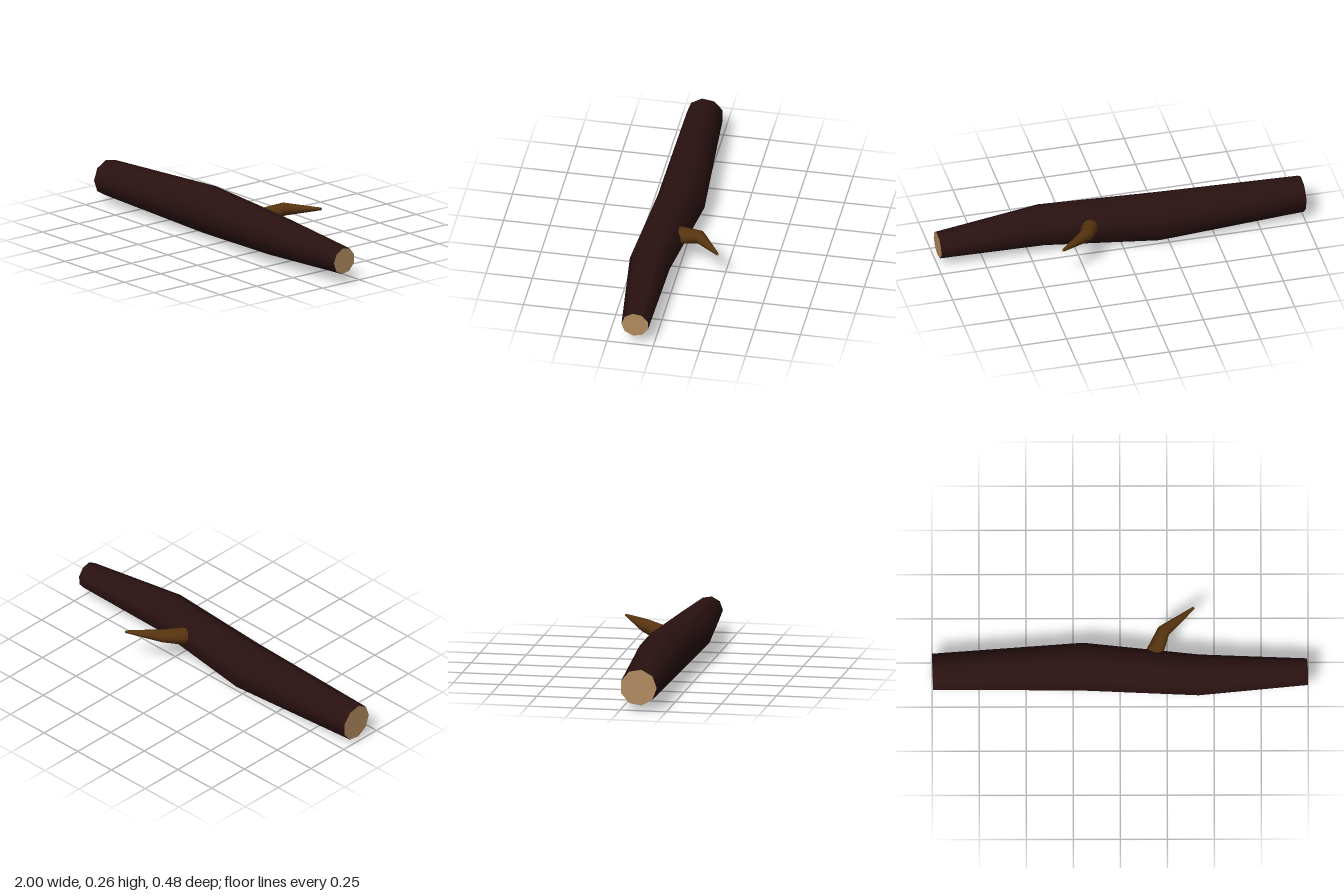
import * as THREE from 'three';

const logBark = new THREE.MeshStandardMaterial({ name: 'darkBark', color: 0x2a1111 });
const branchBark = new THREE.MeshStandardMaterial({ name: 'brownBark', color: 0x57340f });
const cutWood = new THREE.MeshStandardMaterial({ name: 'cutWood', color: 0xb48e62 });

const SIDES = 9;

// Rings of points around a bent path; each station is [x, y, z, radius].
function makeRings(stations, reference) {
  const centres = stations.map(([x, y, z]) => new THREE.Vector3(x, y, z));
  return centres.map((centre, i) => {
    const t = new THREE.Vector3();
    if (i > 0) t.add(centre.clone().sub(centres[i - 1]).normalize());
    if (i < centres.length - 1) t.add(centres[i + 1].clone().sub(centre).normalize());
    t.normalize();
    const u = reference.clone().addScaledVector(t, -reference.dot(t)).normalize();
    const v = t.clone().cross(u);
    const r = stations[i][3];
    return Array.from({ length: SIDES }, (_, j) => {
      const a = (j / SIDES) * Math.PI * 2;
      return centre.clone().addScaledVector(u, r * Math.cos(a)).addScaledVector(v, r * Math.sin(a));
    });
  });
}

function makeMesh(name, points, index, material) {
  const geometry = new THREE.BufferGeometry().setFromPoints(points);
  geometry.setIndex(index);
  geometry.computeVertexNormals();
  const mesh = new THREE.Mesh(geometry, material);
  mesh.name = name;
  return mesh;
}

// Smooth bark skin joining neighbouring rings
function makeSkin(name, rings, material) {
  const index = [];
  for (let i = 0; i < rings.length - 1; i++) {
    for (let j = 0; j < SIDES; j++) {
      const k = (j + 1) % SIDES;
      const a = i * SIDES + j, b = i * SIDES + k;
      index.push(a, b, a + SIDES, b, b + SIDES, a + SIDES);
    }
  }
  return makeMesh(name, rings.flat(), index, material);
}

// Flat sawn end
function makeCap(name, ring, atStart) {
  const index = [];
  for (let j = 1; j < SIDES - 1; j++) {
    if (atStart) index.push(0, j + 1, j);
    else index.push(0, j, j + 1);
  }
  return makeMesh(name, ring, index, cutWood);
}

export function createModel() {
  const model = new THREE.Group();
  model.name = 'log';

  // Main trunk, lying along x
  const trunk = makeRings([
    [-0.998, 0.128, 0.098, 0.099],
    [-0.2, 0.132, 0.073, 0.131],
    [0.42, 0.145, 0.125, 0.112],
    [0.996, 0.125, 0.099, 0.073],
  ], new THREE.Vector3(0, 0, 1));
  model.add(
    makeSkin('trunkBark', trunk, logBark),
    makeCap('trunkWideEnd', trunk[0], true),
    makeCap('trunkNarrowEnd', trunk[3], false),
  );

  // Bent side branch growing out of the back
  const branch = makeRings([
    [0.185, 0.166, 0.002, 0.047],
    [0.233, 0.198, -0.108, 0.036],
    [0.393, 0.211, -0.235, 0.007],
  ], new THREE.Vector3(0, 1, 0));
  model.add(
    makeSkin('branchBark', branch, branchBark),
    makeCap('branchBase', branch[0], true),
    makeCap('branchTip', branch[2], false),
  );
  return model;
}
